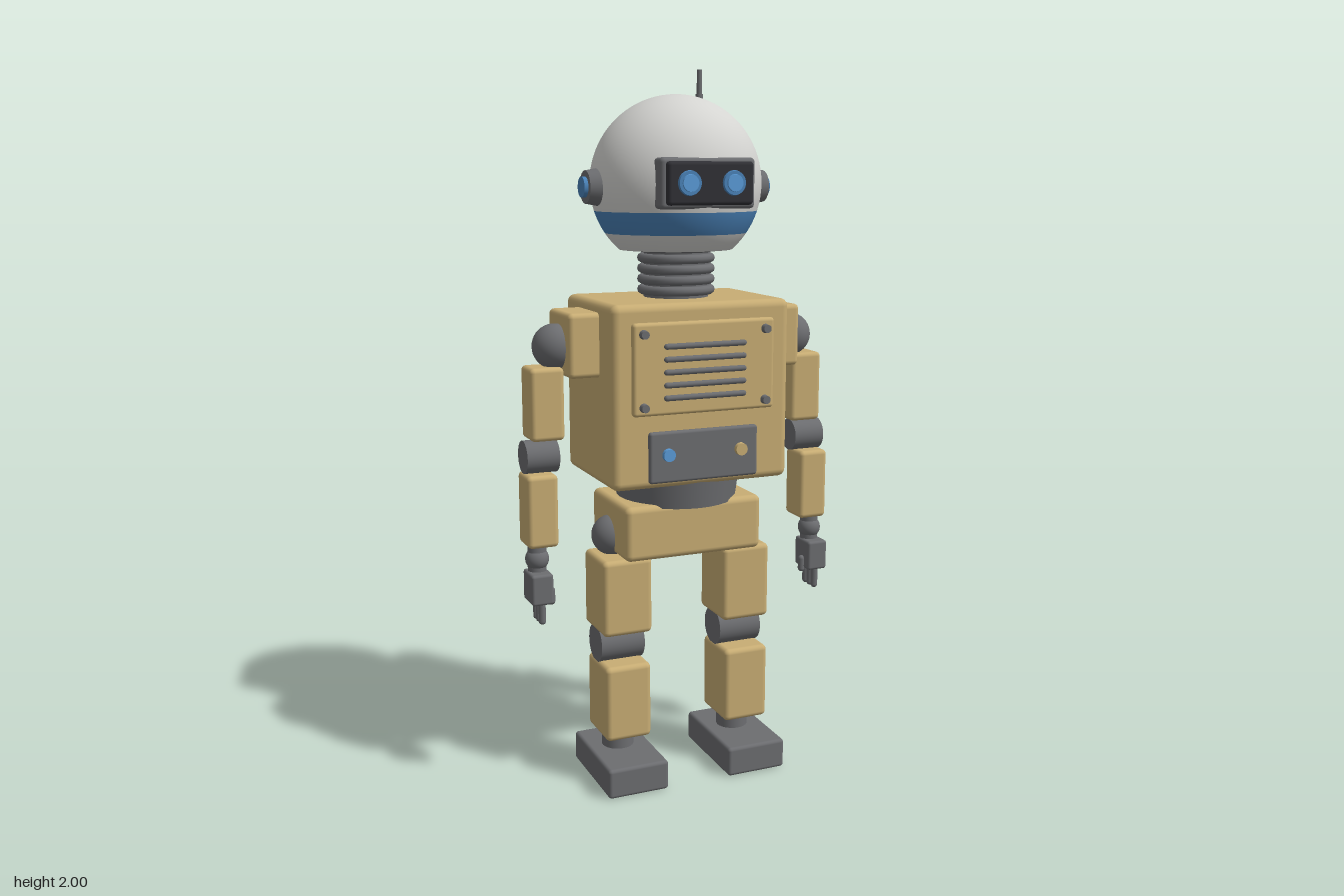
import * as THREE from 'three';
import { RoundedBoxGeometry } from 'three/addons/geometries/RoundedBoxGeometry.js';

const mat = (name, color, side = THREE.FrontSide) => {
  const m = new THREE.MeshStandardMaterial({ color, side });
  m.name = name;
  return m;
};

export function createModel() {
  const robot = new THREE.Group();
  robot.name = 'robot';
  const tan = mat('tan', 0xc8ad74);
  const grey = mat('grey', 0x6c6d70);
  const shell = mat('shell', 0xd4d4d1, THREE.DoubleSide);
  const blue = mat('blue', 0x4a82b8, THREE.DoubleSide);
  const lens = mat('lens', 0x5a9bd8);
  const dark = mat('dark', 0x303035);
  const Z = 0.038; // body axis depth

  const add = (name, geo, material, x = 0, y = 0, z = 0, parent = robot) => {
    const mesh = new THREE.Mesh(geo, material);
    mesh.name = name;
    mesh.position.set(x, y, z);
    parent.add(mesh);
    return mesh;
  };
  // Rounded box given by its lower and upper limits
  const box = (name, m, x0, x1, y0, y1, z0, z1, r = 0.015, parent = robot) =>
    add(name, new RoundedBoxGeometry(x1 - x0, y1 - y0, z1 - z0, 3, r), m,
      (x0 + x1) / 2, (y0 + y1) / 2, (z0 + z1) / 2, parent);
  // Cylinder along a chosen axis; r1 is the radius at the positive end
  const cyl = (name, m, axis, r0, r1, len, x, y, z, parent = robot) => {
    const g = new THREE.CylinderGeometry(r1, r0, len, 32);
    if (axis === 'x') g.rotateZ(-Math.PI / 2);
    if (axis === 'z') g.rotateX(Math.PI / 2);
    return add(name, g, m, x, y, z, parent);
  };
  const ball = (name, m, r, x, y, z, parent = robot) =>
    add(name, new THREE.SphereGeometry(r, 32, 20), m, x, y, z, parent);

  // Head: an ellipsoid shell lathed in three bands
  const head = new THREE.Group();
  head.name = 'head';
  robot.add(head);
  const headY = 1.693, R = 0.238;
  const band = (name, m, y0, y1, capped) => {
    const pts = capped ? [new THREE.Vector2(0, y0 - headY)] : [];
    const a0 = Math.asin((y0 - headY) / R), a1 = Math.asin(Math.min(1, (y1 - headY) / R));
    for (let i = 0; i <= 24; i++) {
      const a = a0 + (a1 - a0) * i / 24;
      pts.push(new THREE.Vector2(Math.max(0, R * Math.cos(a)), R * Math.sin(a)));
    }
    const mesh = add(name, new THREE.LatheGeometry(pts, 64), m, 0, headY, 0.036, head);
    mesh.scale.z = 0.945;
  };
  band('chin', shell, 1.515, 1.56, true);
  band('headBand', blue, 1.56, 1.62);
  band('dome', shell, 1.62, headY + R);

  // Visor and eyes
  box('visorFrame', grey, -0.135, 0.135, 1.63, 1.762, 0.16, 0.257, 0.012, head);
  box('visorScreen', dark, -0.122, 0.122, 1.64, 1.752, 0.22, 0.275, 0.01, head);
  for (const s of [-1, 1]) {
    cyl('eyeRing', blue, 'z', 0.034, 0.031, 0.012, s * 0.063, 1.697, 0.276, head);
    cyl('eye', lens, 'z', 0.024, 0.022, 0.01, s * 0.063, 1.697, 0.281, head);
    // Ears
    cyl('ear', grey, 'x', s > 0 ? 0.053 : 0.044, s > 0 ? 0.044 : 0.053, 0.05, s * 0.239, 1.685, Z, head);
    cyl('earCap', blue, 'x', 0.028, 0.028, 0.03, s * 0.26, 1.685, Z, head);
  }
  cyl('antennaBase', grey, 'y', 0.012, 0.01, 0.04, 0.086, 1.915, 0, head);
  cyl('antenna', grey, 'y', 0.007, 0.007, 0.09, 0.086, 1.955, 0, head);

  // Ribbed neck
  cyl('neckCore', grey, 'y', 0.09, 0.09, 0.15, 0, 1.45, Z);
  for (let i = 0; i < 5; i++) {
    const g = new THREE.TorusGeometry(0.095, 0.013, 10, 40).rotateX(Math.PI / 2);
    add('neckRing', g, grey, 0, 1.405 + i * 0.029, Z);
  }

  // Torso, waist and pelvis
  box('torso', tan, -0.26, 0.26, 0.885, 1.385, -0.15, 0.225, 0.022);
  cyl('waist', grey, 'y', 0.17, 0.182, 0.09, 0, 0.86, Z);
  box('pelvis', tan, -0.205, 0.205, 0.67, 0.825, -0.1, 0.177, 0.018);

  // Chest plate with vents and bolts
  box('chestPlate', tan, -0.207, 0.207, 1.088, 1.337, 0.215, 0.24, 0.01);
  for (let i = 0; i < 5; i++) {
    const g = new THREE.CapsuleGeometry(0.008, 0.225, 4, 12).rotateZ(Math.PI / 2);
    add('ventBar', g, grey, 0, 1.273 - i * 0.0345, 0.242);
  }
  for (const x of [-0.178, 0.178])
    for (const y of [1.113, 1.308]) cyl('bolt', grey, 'z', 0.013, 0.011, 0.02, x, y, 0.246);

  // Control panel
  box('controlPanel', grey, -0.16, 0.16, 0.902, 1.043, 0.215, 0.238, 0.008);
  cyl('blueButton', lens, 'z', 0.018, 0.017, 0.016, -0.107, 0.98, 0.242);
  cyl('tanButton', tan, 'z', 0.018, 0.017, 0.016, 0.107, 0.98, 0.242);

  // Backpack with two tanks and cooling fins
  box('backpack', grey, -0.178, 0.178, 0.967, 1.34, -0.252, -0.14, 0.016);
  for (const s of [-1, 1]) cyl('tank', tan, 'y', 0.044, 0.044, 0.295, s * 0.1, 1.158, -0.244);
  for (let i = 0; i < 7; i++) box('fin', grey, -0.07, 0.07, 1.035 + i * 0.036, 1.055 + i * 0.036, -0.272, -0.24, 0.005);

  // Limbs, built for one side at a time
  for (const s of [-1, 1]) {
    const side = s > 0 ? 'left' : 'right';
    const arm = new THREE.Group(), leg = new THREE.Group();
    arm.name = side + 'Arm';
    leg.name = side + 'Leg';
    robot.add(arm, leg);
    const sbox = (name, m, x0, x1, y0, y1, z0, z1, r, g) =>
      box(name, m, s > 0 ? x0 : -x1, s > 0 ? x1 : -x0, y0, y1, z0, z1, r, g);

    sbox('shoulderBlock', tan, 0.23, 0.345, 1.182, 1.357, -0.05, 0.126, 0.014, arm);
    ball('shoulder', grey, 0.062, s * 0.357, 1.262, Z, arm);
    sbox('upperArm', tan, 0.345, 0.44, 1.01, 1.21, -0.01, 0.086, 0.013, arm);
    cyl('elbow', grey, 'x', 0.046, 0.046, 0.092, s * 0.407, 0.963, 0.04, arm);
    sbox('forearm', tan, 0.372, 0.459, 0.717, 0.92, 0.005, 0.101, 0.013, arm);
    cyl('wrist', grey, 'y', 0.026, 0.026, 0.1, s * 0.425, 0.68, 0.06, arm);
    ball('wristJoint', grey, 0.033, s * 0.425, 0.68, 0.061, arm);
    sbox('hand', grey, 0.395, 0.457, 0.56, 0.647, 0.03, 0.116, 0.008, arm);
    for (const z of [0.047, 0.073, 0.099])
      add('finger', new THREE.CapsuleGeometry(0.01, 0.06, 4, 12), grey, s * 0.425, 0.541, z, arm);
    add('thumb', new THREE.CapsuleGeometry(0.01, 0.03, 4, 12), grey, s * 0.391, 0.574, 0.08, arm);

    ball('hip', grey, 0.058, s * 0.194, 0.715, 0.03, leg);
    sbox('thigh', tan, 0.11, 0.256, 0.445, 0.665, -0.032, 0.132, 0.015, leg);
    cyl('knee', grey, 'x', 0.055, 0.055, 0.13, s * 0.184, 0.402, Z, leg);
    sbox('shin', tan, 0.116, 0.252, 0.135, 0.356, -0.022, 0.137, 0.015, leg);
    cyl('calfPiston', grey, 'y', 0.018, 0.018, 0.25, s * 0.184, 0.234, -0.034, leg);
    cyl('ankle', grey, 'y', 0.046, 0.046, 0.08, s * 0.184, 0.11, Z, leg);
    sbox('foot', grey, 0.094, 0.274, 0, 0.086, -0.086, 0.211, 0.01, leg);
  }
  return robot;
}
